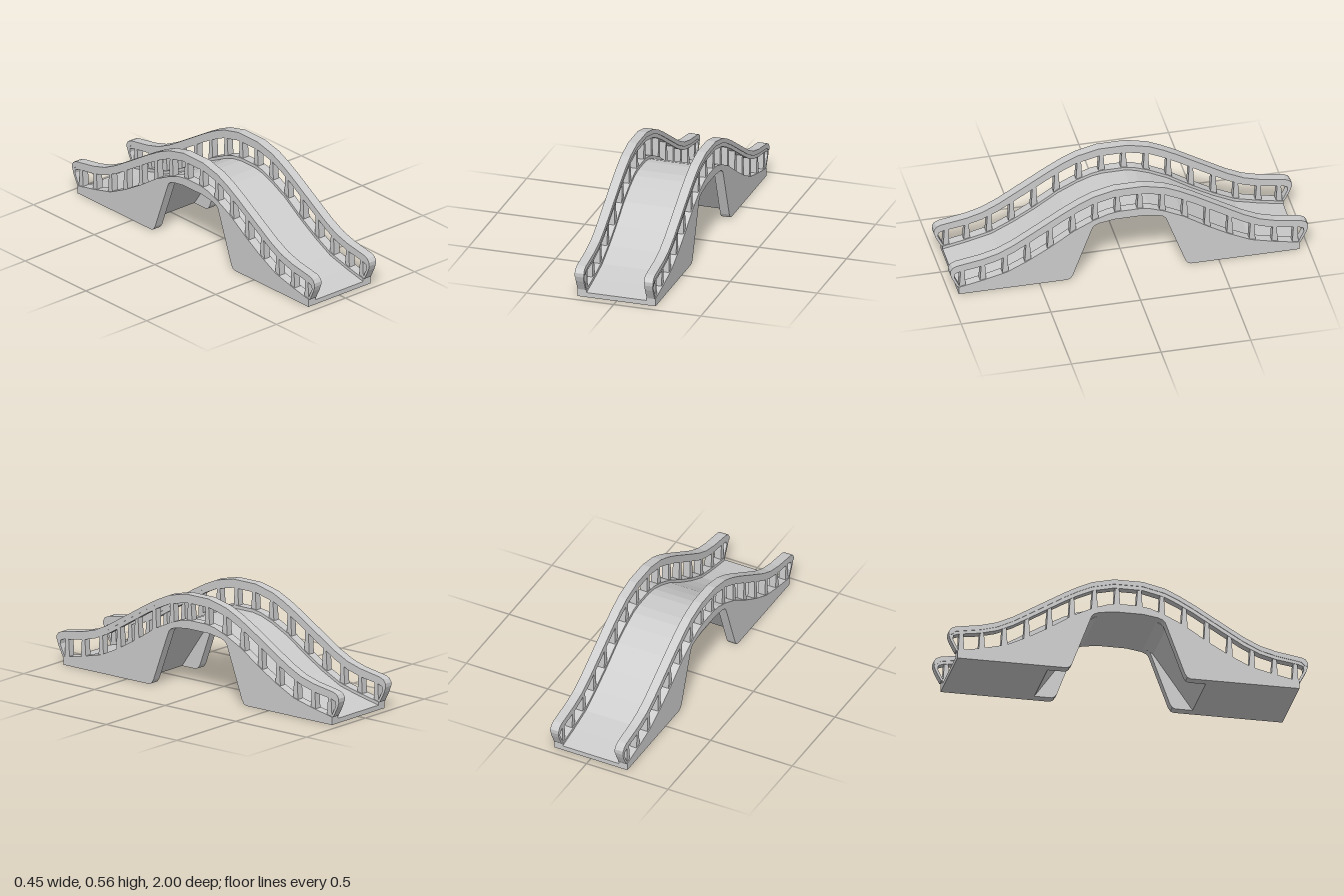
import * as THREE from 'three';

const HALF_WIDTH = 0.224, INNER = 0.172;
const WALL = HALF_WIDTH - INNER, WALL_X = (HALF_WIDTH + INNER) / 2;

// Half profiles as [z, y], running from the crown to the end of the bridge.
const curbTop = [[0.06, 0.41], [0.12, 0.4], [0.2, 0.371], [0.305, 0.32], [0.44, 0.232],
  [0.56, 0.163], [0.68, 0.105], [0.81, 0.073], [0.95, 0.045]];
const railTop = [[0.08, 0.555], [0.2, 0.527], [0.28, 0.491], [0.36, 0.447], [0.545, 0.335],
  [0.64, 0.278], [0.73, 0.235], [0.82, 0.21], [0.96, 0.187], [0.985, 0.176], [0.998, 0.156]];
const railUnder = [[0.945, 0.145], [0.82, 0.163], [0.73, 0.187], [0.64, 0.228], [0.545, 0.284],
  [0.36, 0.396], [0.28, 0.44], [0.2, 0.477], [0.08, 0.505]];
const railEnd = [[0.998, 0.135], [0.988, 0.105], [0.957, 0.045], [0.943, 0.045],
  [0.952, 0.065], [0.975, 0.112], [0.972, 0.135]];
const archSide = [[0.345, 0], [0.327, 0.007], [0.313, 0.028], [0.213, 0.3], [0.203, 0.325],
  [0.19, 0.338], [0.165, 0.348], [0.08, 0.361]];
const archCentre = [[0.44, 0], [0.22, 0.315], [0.165, 0.348], [0.08, 0.361]];

const lower = (points, d) => points.map(([z, y]) => [z, y - d]);
const mirrored = (points) => points.map(([z, y]) => [-z, y]).reverse();

function heightAt(points, z) {
  const p = points.slice().sort((a, b) => a[0] - b[0]);
  if (z <= p[0][0]) return p[0][1];
  for (let i = 1; i < p.length; i++) {
    if (z <= p[i][0]) {
      const t = (z - p[i - 1][0]) / (p[i][0] - p[i - 1][0]);
      return p[i - 1][1] + t * (p[i][1] - p[i - 1][1]);
    }
  }
  return p[p.length - 1][1];
}

export function createModel() {
  const bridge = new THREE.Group();
  bridge.name = 'archedFootbridge';
  const material = new THREE.MeshStandardMaterial({ color: 0xcccccc });

  // Extrudes a [z, y] outline across x, centred on the given x.
  function slab(name, outline, width, x, parent) {
    const shape = new THREE.Shape(outline.map(([z, y]) => new THREE.Vector2(z, y)));
    const geometry = new THREE.ExtrudeGeometry(shape, { depth: width, bevelEnabled: false });
    geometry.translate(0, 0, -width / 2);
    geometry.rotateY(-Math.PI / 2);
    const mesh = new THREE.Mesh(geometry, material);
    mesh.name = name;
    mesh.position.x = x;
    parent.add(mesh);
  }

  // Closes a half outline, given from crown top round to crown underside.
  const whole = (half) => [...half, ...mirrored(half)];

  // Body between the walls: walkway, abutments and recessed arch faces
  slab('deck', whole([...lower(curbTop, 0.018), [0.95, 0], ...archCentre]), INNER * 2, 0, bridge);

  for (const side of [1, -1]) {
    const wall = new THREE.Group();
    wall.name = side > 0 ? 'leftSide' : 'rightSide';
    bridge.add(wall);
    const x = side * WALL_X;

    // Solid wall with its arch opening and raised curb
    slab('sideWall', whole([...curbTop, [0.95, 0], ...archSide]), WALL, x, wall);

    // Handrail with curled ends, and a slightly wider cap
    slab('handrail', whole([...railTop, ...railEnd, ...railUnder]), WALL - 0.006, x, wall);
    const cap = [...railTop, [0.998, 0.135], [0.98, 0.14], ...lower(railTop.slice(0, 9), 0.028).reverse()];
    slab('handrailCap', whole(cap), WALL, x, wall);

    // Tapered balusters
    for (const z of [0.062, 0.187, 0.312, 0.437, 0.563, 0.688, 0.813, 0.928]) {
      const bottom = heightAt(curbTop, z) - 0.015, top = heightAt(railUnder, z) + 0.015;
      const post = [[z - 0.018, bottom], [z + 0.018, bottom], [z + 0.01, top], [z - 0.01, top]];
      slab('baluster', post, WALL - 0.012, x, wall);
      slab('baluster', mirrored(post), WALL - 0.012, x, wall);
    }
  }
  return bridge;
}
